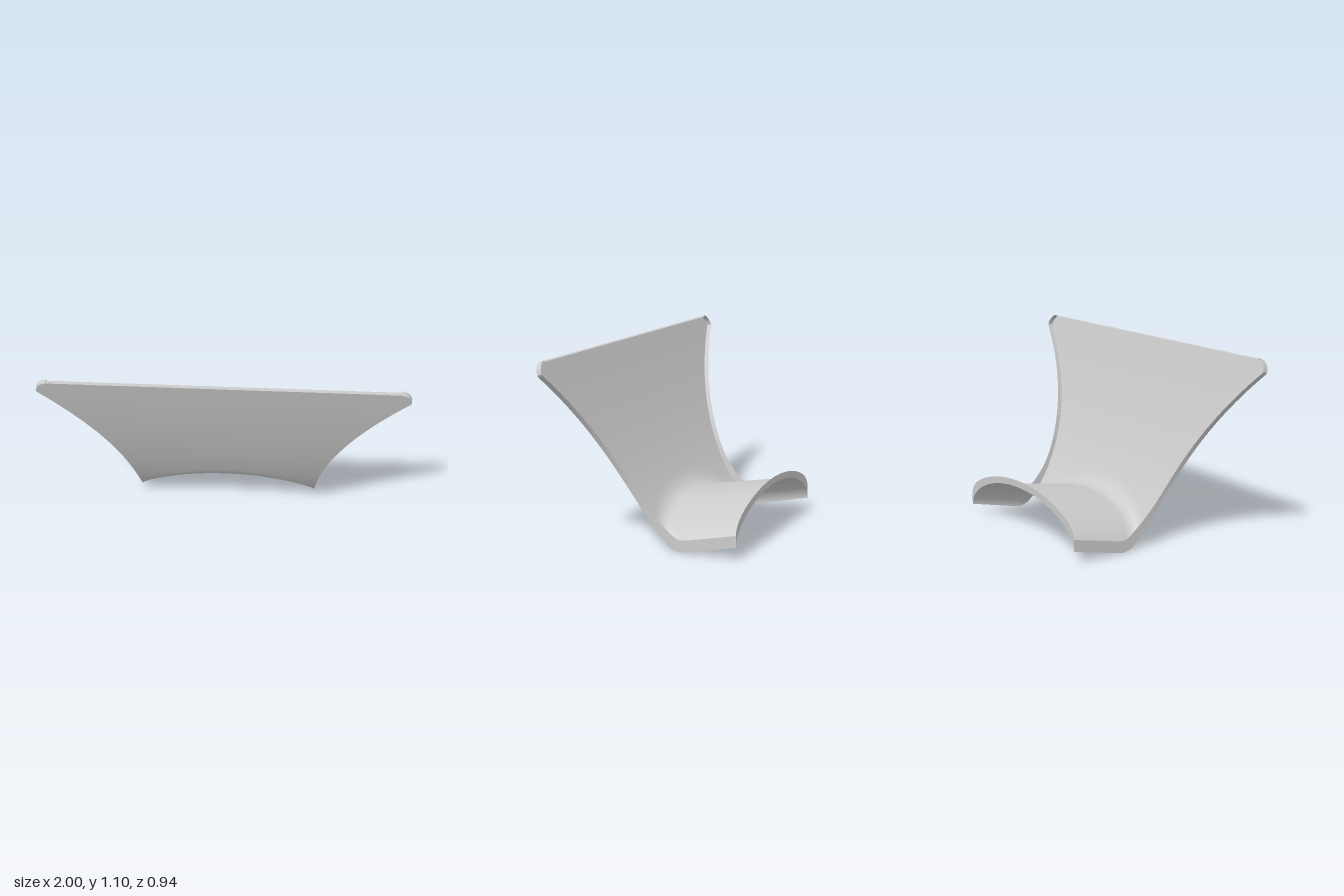
import * as THREE from 'three';
import { toCreasedNormals } from 'three/addons/utils/BufferGeometryUtils.js';

const HALF = 0.525;                 // half width of the arched tongue
const Z0 = -0.468, Z1 = 0.475;      // tongue end, panel top
const COLS = 64, ROWS = 96;

// Leaning panel: height of its front face as a function of depth
const panel = z => 0.16 + 1.4 * (z - 0.06) + 2 * (z - 0.06) ** 2;

// 1 on the crown of the arch, 0 at its sides and beyond
const crown = x => Math.max(1 - (x / HALF) ** 2, 0);

// Underside of the arched tongue, rising gently to the back
const tongue = (x, z) => -0.036 - 0.24 * z + (0.254 + 0.055 * z) * crown(x) ** 0.55;

// Panel and tongue joined by a soft fillet, wider at the crown
function height(x, z) {
  const a = z < -0.29 ? -1 : panel(z), b = tongue(x, z);
  const k = 0.06 + 0.06 * crown(x);
  const h = Math.max(k - Math.abs(a - b), 0);
  return Math.max(a, b) + h * h / (4 * k);
}

// Half width: straight tongue, flared wings, rounded upper corners
function halfWidth(z) {
  const y = z < -0.05 ? 0 : panel(z);
  const flare = HALF + 0.457 * y ** 2.25;
  if (y < 0.96) return flare;
  const r = 0.071, d = y - 1.015;
  return Math.min(flare, 0.93 + Math.sqrt(Math.max(r * r - d * d, 0)));
}

// Surface point for u in -1..1 across and v in 0..1 from tongue end to panel top;
// columns gather at the steep sides, rows at the rounded corners
function surface(u, v) {
  const z = Z0 + (Z1 - Z0) * Math.sin(v * Math.PI / 2);
  const x = Math.sin(u * Math.PI / 2) * halfWidth(z);
  return new THREE.Vector3(x, height(x, z), z);
}

// Matching inner point of the rim, set back behind and above the skin
function inner(u, v) {
  const p = surface(u, v), e = 0.004;
  const slope = (height(p.x, p.z + e) - height(p.x, p.z - e)) / (2 * e);
  const len = Math.hypot(slope, 1);
  const onTongue = 1 - THREE.MathUtils.smoothstep(p.z, -0.1, 0.15);
  const t = 0.03 + (0.01 + 0.03 * (1 - crown(p.x)) ** 2) * onTongue;
  // the top edge is cut level, the rest follows the slope
  if (v === 1) return p.setZ(p.z - 0.027);
  p.z -= Math.max(slope, 0) / len * t;
  p.y += t / len;
  return p;
}

function skinGeometry() {
  const g = new THREE.PlaneGeometry(2, 1, COLS, ROWS);
  const pos = g.attributes.position;
  for (let i = 0; i < pos.count; i++) {
    const p = surface(pos.getX(i), pos.getY(i) + 0.5);
    pos.setXYZ(i, p.x, p.y, p.z);
  }
  g.computeVertexNormals();
  return g;
}

function rimGeometry() {
  // Walk once around the border of the skin
  const border = [];
  for (let i = 0; i < COLS; i++) border.push([-1 + 2 * i / COLS, 0]);
  for (let j = 0; j < ROWS; j++) border.push([1, j / ROWS]);
  for (let i = 0; i < COLS; i++) border.push([1 - 2 * i / COLS, 1]);
  for (let j = 0; j < ROWS; j++) border.push([-1, 1 - j / ROWS]);

  const points = [], index = [], n = border.length;
  border.forEach(([u, v], i) => {
    points.push(surface(u, v), inner(u, v));
    const a = 2 * i, b = 2 * ((i + 1) % n);
    index.push(a, b, b + 1, a, b + 1, a + 1);
  });
  const g = new THREE.BufferGeometry().setFromPoints(points);
  g.setIndex(index);
  return toCreasedNormals(g, 0.6);
}

export function createModel() {
  const group = new THREE.Group();
  group.name = 'flaredScoop';
  const material = new THREE.MeshStandardMaterial({ color: 0xcccccc, side: THREE.DoubleSide });

  const skin = new THREE.Mesh(skinGeometry(), material);
  skin.name = 'panelAndTongue';
  const rim = new THREE.Mesh(rimGeometry(), material);
  rim.name = 'edgeRim';
  group.add(skin, rim);
  return group;
}
